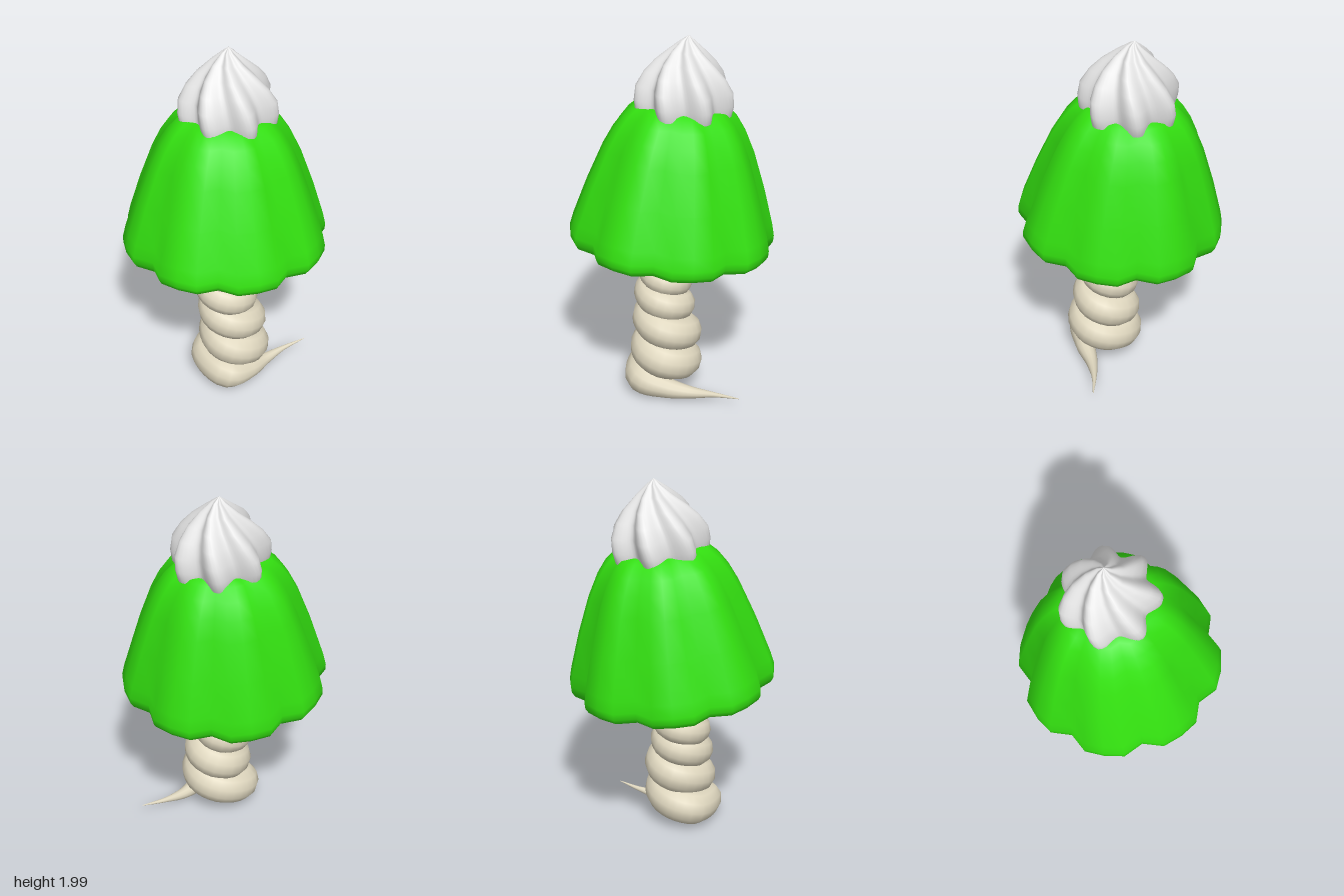
import * as THREE from 'three';

const green = new THREE.MeshStandardMaterial({ color: 0x33e010 });
green.name = 'leafGreen';
const white = new THREE.MeshStandardMaterial({ color: 0xe4e4e4 });
white.name = 'creamWhite';
const beige = new THREE.MeshStandardMaterial({ color: 0xded6be });
beige.name = 'trunkBeige';

// Skins rings of [height, radius, twist], listed from the bottom up; lobe(i) scales the radius around the ring
function loft(rings, sides, lobe, phase = 0) {
  const pos = [], index = [];
  rings.forEach(([h, r, twist = 0], j) => {
    for (let i = 0; i < sides; i++) {
      const a = (i / sides) * Math.PI * 2 + phase + twist;
      const k = r * lobe(i);
      pos.push(Math.cos(a) * k, h, -Math.sin(a) * k);
      if (j === rings.length - 1) continue;
      const p = j * sides + i, q = j * sides + ((i + 1) % sides);
      if (rings[j][1] > 0) index.push(p, q, p + sides);
      if (rings[j + 1][1] > 0) index.push(q, q + sides, p + sides);
      else if (rings[j][1] === 0) continue;
    }
  });
  const geo = new THREE.BufferGeometry();
  geo.setAttribute('position', new THREE.Float32BufferAttribute(pos, 3));
  geo.setIndex(index);
  geo.computeVertexNormals();
  return geo;
}

function part(name, geo, material) {
  const mesh = new THREE.Mesh(geo, material);
  mesh.name = name;
  return mesh;
}

// Coiled trunk: a tapering tube that starts as a thin tail and winds upward
function trunkGeometry() {
  // tail and first bend: x, y, z, tube radius
  const stations = [
    [0.45, 0.055, -0.14, 0.002], [0.33, 0.045, -0.06, 0.014],
    [0.23, 0.04, 0.03, 0.034], [0.14, 0.066, 0.14, 0.06], [0.03, 0.1, 0.21, 0.092],
  ];
  // one row per turn: y, centre x, centre z, coil radius, tube radius
  const turns = [
    [0.125, 0.03, 0.085, 0.115, 0.1], [0.3, 0.06, 0.06, 0.1, 0.1],
    [0.465, 0.03, 0.065, 0.085, 0.09], [0.6, 0, 0.05, 0.08, 0.08],
    [0.705, -0.01, 0.03, 0.075, 0.064], [0.8, -0.02, 0.02, 0.07, 0.06],
    [0.91, -0.02, 0.01, 0.06, 0.06],
  ];
  const perTurn = 8;
  for (let s = 0; s <= (turns.length - 1) * perTurn; s++) {
    const k = Math.min(Math.floor(s / perTurn), turns.length - 2);
    const f = s / perTurn - k;
    const [y, cx, cz, coil, r] = turns[k].map((v, n) => THREE.MathUtils.lerp(v, turns[k + 1][n], f));
    const a = (s / perTurn + 0.25) * Math.PI * 2;
    stations.push([cx - Math.sin(a) * coil, y, cz + Math.cos(a) * coil, r]);
  }

  const path = new THREE.CatmullRomCurve3(stations.map(([x, y, z]) => new THREE.Vector3(x, y, z)));
  path.arcLengthDivisions = 600;
  const segments = 150, sides = 12;
  const geo = new THREE.TubeGeometry(path, segments, 1, sides);
  const pos = geo.attributes.position, v = new THREE.Vector3();
  for (let i = 0; i <= segments; i++) {
    const centre = path.getPointAt(i / segments);
    const t = path.getUtoTmapping(i / segments) * (stations.length - 1);
    const k = Math.min(Math.floor(t), stations.length - 2);
    const r = THREE.MathUtils.lerp(stations[k][3], stations[k + 1][3], t - k);
    for (let j = 0; j <= sides; j++) {
      const n = i * (sides + 1) + j;
      v.fromBufferAttribute(pos, n).sub(centre).multiplyScalar(r).add(centre);
      pos.setXYZ(n, v.x, v.y, v.z);
    }
  }
  return geo;
}

export function createModel() {
  const model = new THREE.Group();
  model.name = 'swirlTree';
  model.add(part('trunk', trunkGeometry(), beige));

  // Crown leans slightly backward
  const crown = new THREE.Group();
  crown.name = 'crown';
  crown.position.y = 0.865;
  crown.rotation.x = THREE.MathUtils.degToRad(-5);
  model.add(crown);

  // Eight-lobed canopy with a closed underside
  const lobes = [0.9, 0.998, 1, 0.998];
  const canopy = loft([
    [0.01, 0], [0.005, 0.4], [0, 0.5], [0.008, 0.528], [0.035, 0.544], [0.07, 0.545],
    [0.135, 0.53], [0.335, 0.468], [0.535, 0.395], [0.635, 0.347], [0.71, 0.297],
    [0.765, 0.24], [0.785, 0.17], [0.79, 0],
  ], 32, (i) => lobes[i % 4]);
  crown.add(part('canopy', canopy, green));

  // Twisted seven-pointed cream top
  const cream = loft([
    [0.73, 0], [0.73, 0.235], [0.74, 0.252, 0], [0.8, 0.262, -0.03], [0.87, 0.255, -0.1],
    [0.94, 0.215, -0.2], [1.0, 0.162, -0.33], [1.06, 0.095, -0.52], [1.11, 0.037, -0.75], [1.138, 0, -0.9],
  ], 84, (i) => 0.88 + 0.12 * Math.cos((i / 12) * Math.PI * 2), THREE.MathUtils.degToRad(96));
  const top = part('creamTop', cream, white);
  top.position.x = 0.012;
  crown.add(top);
  return model;
}
